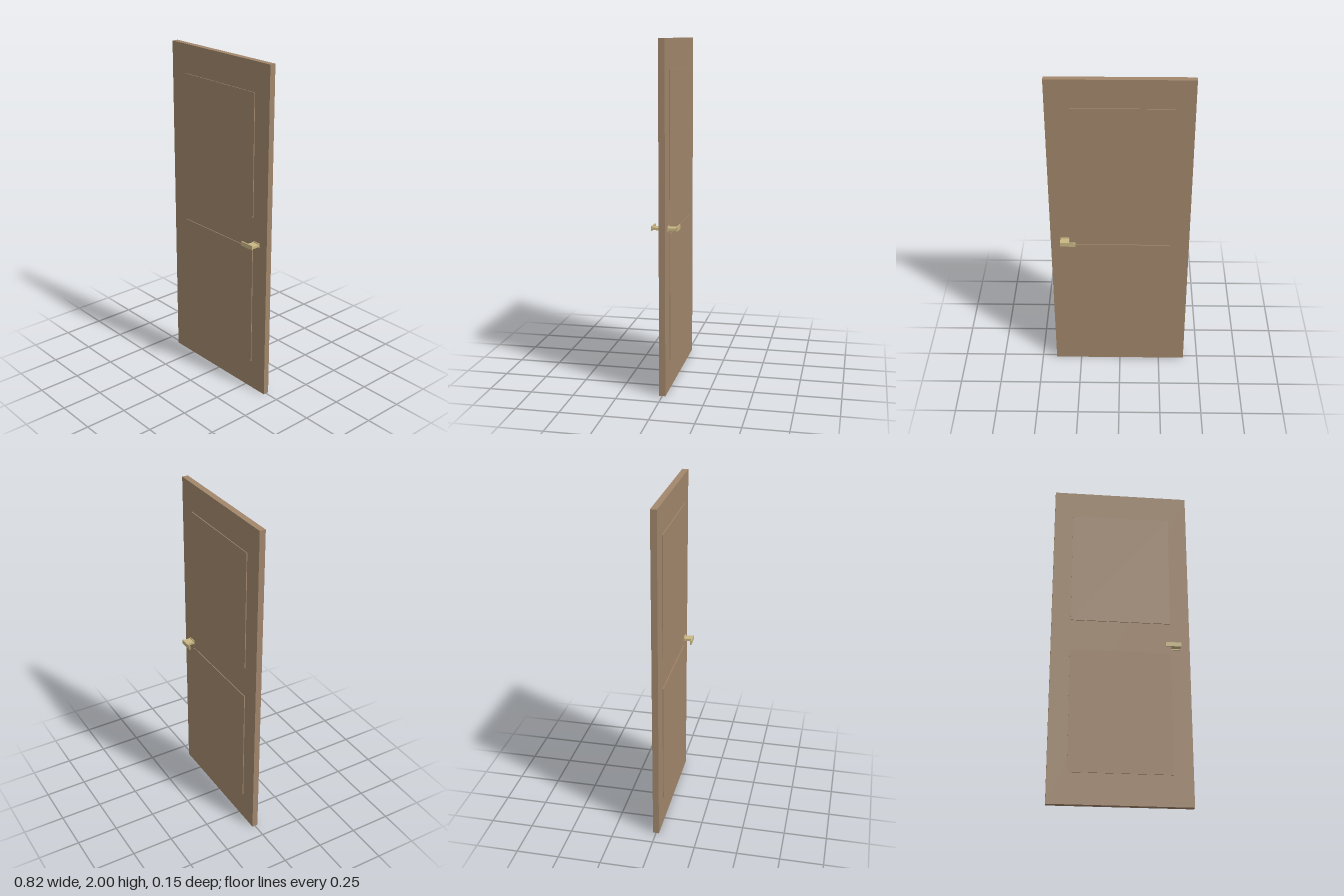
import * as THREE from 'three';

export function createModel() {
  const wood = new THREE.MeshStandardMaterial({ color: 0xa1866c });
  wood.name = 'brown wood';
  const brass = new THREE.MeshStandardMaterial({ color: 0xc9b683 });
  brass.name = 'pale brass';

  const door = new THREE.Group();
  door.name = 'door';

  // Box given by its limits on each axis
  function box(name, material, [x0, x1], [y0, y1], [z0, z1], parent) {
    const mesh = new THREE.Mesh(new THREE.BoxGeometry(x1 - x0, y1 - y0, z1 - z0), material);
    mesh.position.set((x0 + x1) / 2, (y0 + y1) / 2, (z0 + z1) / 2);
    mesh.name = name;
    parent.add(mesh);
  }

  // Door leaf
  box('doorLeaf', wood, [-0.41, 0.41], [0, 2], [-0.018, 0.018], door);

  // Raised panels and lever handle, the same on both faces
  for (const side of ['front', 'back']) {
    const s = side === 'front' ? 1 : -1;
    const depth = (a, b) => (s > 0 ? [a, b] : [-b, -a]);
    box(side + 'UpperPanel', wood, [-0.297, 0.297], [1.11, 1.83], depth(0.017, 0.023), door);
    box(side + 'LowerPanel', wood, [-0.297, 0.297], [0.18, 0.918], depth(0.017, 0.023), door);

    const handle = new THREE.Group();
    handle.name = side + 'Handle';
    box('handleNeck', brass, [0.3, 0.352], [0.948, 0.962], depth(0.017, 0.07), handle);
    box('handleLever', brass, [0.26, 0.352], [0.942, 0.968], depth(0.068, 0.075), handle);
    // Small foot plate where the neck meets the leaf
    box('handleFoot', brass, [0.3, 0.352], [0.942, 0.968], depth(0.017, 0.023), handle);
    door.add(handle);
  }

  return door;
}
